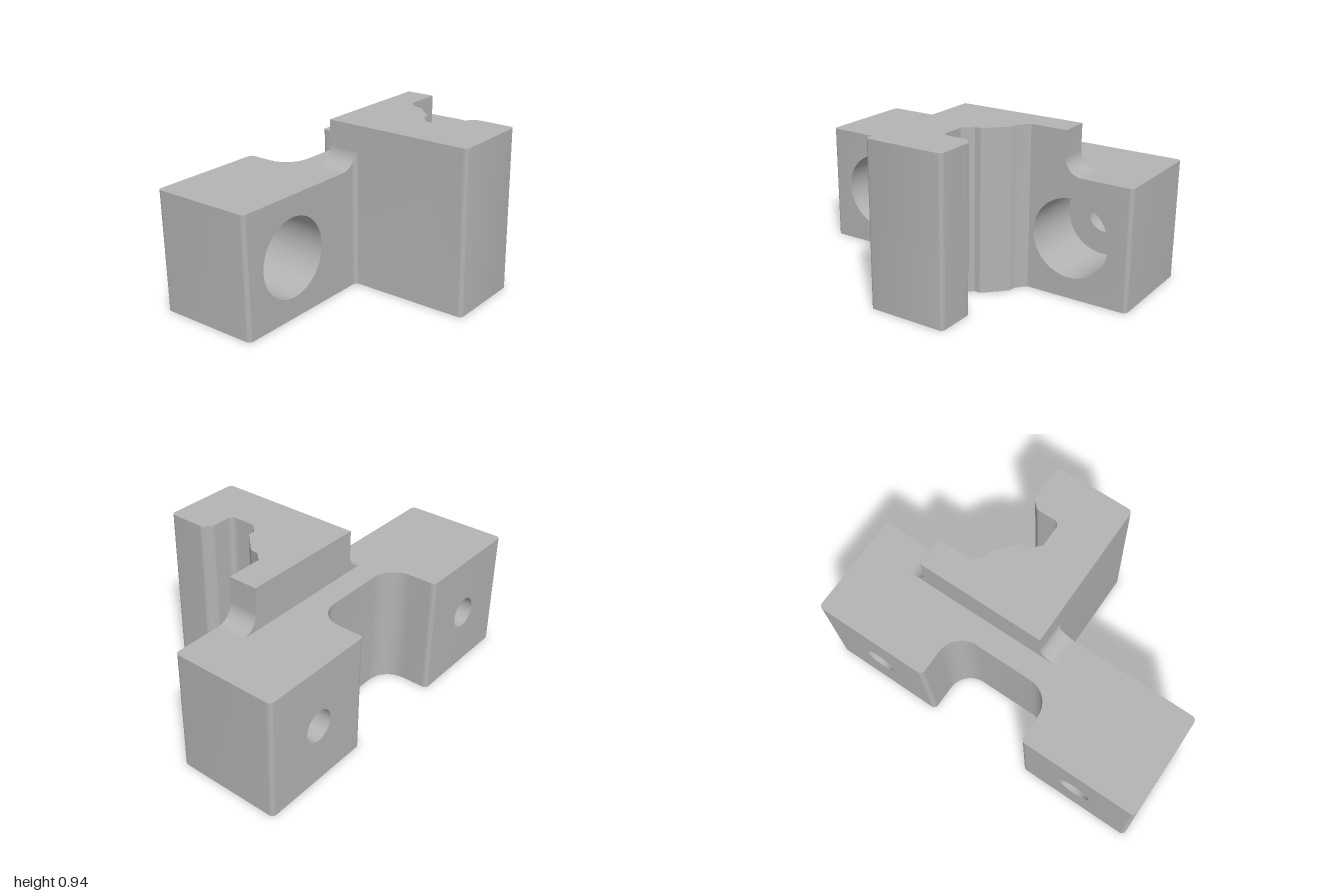
import * as THREE from 'three';
import { mergeGeometries, toCreasedNormals } from 'three/addons/utils/BufferGeometryUtils.js';

const LOW = 0.69, HIGH = 0.935;            // flange and arm heights
const XL = -0.655, XF = -0.05, XS = -0.22; // flange back, flange face, step
const ZA = 0.14, ZB = -0.61, R = 0.1;      // step ends and their fillet radius
const RC = 0.025;                          // small corner radius
const HOLE_Y = 0.345, HOLE_Z = 0.655, HOLE_R = 0.09, BORE_R = 0.225, BORE_X = -0.45;
const SEG = 8;

// Round the corners of a path of [x, z, radius]
function rounded(pts) {
  const out = [];
  pts.forEach(([x, z, r], i) => {
    if (!r) return out.push([x, z]);
    const p = new THREE.Vector2(x, z);
    const u = new THREE.Vector2(...pts[i - 1].slice(0, 2)).sub(p).normalize();
    const v = new THREE.Vector2(...pts[i + 1].slice(0, 2)).sub(p).normalize();
    const half = Math.acos(u.dot(v)) / 2, t = r / Math.tan(half);
    const c = u.clone().add(v).normalize().multiplyScalar(r / Math.sin(half)).add(p);
    const s = u.clone().multiplyScalar(t).add(p).sub(c), e = v.clone().multiplyScalar(t).add(p).sub(c);
    const a0 = s.angle();
    let d = e.angle() - a0;
    d = Math.atan2(Math.sin(d), Math.cos(d));
    for (let k = 0; k <= SEG; k++) {
      const a = a0 + (d * k) / SEG;
      out.push([c.x + r * Math.cos(a), c.y + r * Math.sin(a)]);
    }
  });
  return out.filter((p, i) => !i || Math.hypot(p[0] - out[i - 1][0], p[1] - out[i - 1][1]) > 1e-6);
}

// Surface between two matching rows of 3D points
function strip(a, b) {
  const pos = [];
  for (let i = 0; i < a.length - 1; i++)
    pos.push(...a[i], ...a[i + 1], ...b[i + 1], ...a[i], ...b[i + 1], ...b[i]);
  const g = new THREE.BufferGeometry();
  g.setAttribute('position', new THREE.Float32BufferAttribute(pos, 3));
  return g;
}

// Vertical wall along a plan path
const wall = (path, y0, top) => strip(
  path.map(([x, z]) => [x, y0, z]),
  path.map(([x, z]) => [x, typeof top === 'function' ? top(z) : top, z]));

// Flat face from 2D points, with optional hole
function face(pts, hole) {
  const s = new THREE.Shape(pts.map(([a, b]) => new THREE.Vector2(a, b)));
  if (hole) s.holes.push(new THREE.Path(hole.map(([a, b]) => new THREE.Vector2(a, b))));
  const g = new THREE.ShapeGeometry(s).toNonIndexed();
  g.deleteAttribute('uv');
  g.deleteAttribute('normal');
  return g;
}
const flip = (pts) => pts && pts.map(([a, b]) => [-a, b]);
const faceUp = (plan, y) => face(plan.map(([x, z]) => [x, -z])).rotateX(-Math.PI / 2).translate(0, y, 0);
const faceDown = (plan) => face(plan).rotateX(Math.PI / 2);
const facePlusX = (zy, x, hole) => face(flip(zy), flip(hole)).rotateY(Math.PI / 2).translate(x, 0, 0);
const faceMinusX = (zy, x, hole) => face(zy, hole).rotateY(-Math.PI / 2).translate(x, 0, 0);

// Circle round a bolt axis, as [z, y]
const circle = (r, z) => Array.from({ length: 49 }, (_, i) => {
  const a = (i / 48) * Math.PI * 2;
  return [z + r * Math.cos(a), HOLE_Y + r * Math.sin(a)];
});
const openCircle = (r, z) => circle(r, z).slice(0, -1);
const at = (zy, x) => zy.map(([z, y]) => [x, y, z]);

export function createModel() {
  const group = new THREE.Group();
  group.name = 'clampBracket';
  const steel = new THREE.MeshStandardMaterial({ color: 0xb4b4b4 });
  steel.name = 'grey steel';
  const add = (name, parts) => {
    const mesh = new THREE.Mesh(toCreasedNormals(mergeGeometries(parts), 0.55), steel);
    mesh.name = name;
    group.add(mesh);
  };

  // Plan outline in consecutive runs
  const armPath = rounded([
    [XF + RC, ZA], [0.655, ZA, RC], [0.655, -0.33, RC], [0.425, -0.33, 0.03], [0.38, -0.285, 0.03],
    [0.38, -0.14, 0.035], [0.225, -0.14], [0.17, -0.193], [0.17, -0.232, 0.02],
    [0.05, -0.347, 0.02], [0.003, -0.352, 0.02], [XF, -0.4]]);
  const backEnd = rounded([[XF, -1 + RC], [XF, -1, RC], [XL, -1, RC], [XL, -1 + RC]]);
  const notch = rounded([[XL, -0.315 - RC], [XL, -0.315, RC], [-0.36, -0.315, 0.14],
    [-0.36, 0.315, 0.14], [XL, 0.315, RC], [XL, 0.315 + RC]]);
  const frontEnd = backEnd.map(([x, z]) => [x, -z]).reverse();
  const inner = rounded([[XF, ZA + RC], [XF, ZA, RC], [XF + RC, ZA]]);

  // Step fillet profiles, as [z, y]
  const fillet = (z0, dir) => Array.from({ length: SEG * 2 + 1 }, (_, i) => {
    const a = (i / (SEG * 2)) * Math.PI / 2;
    return [z0 + dir * R * (1 - Math.sin(a)), LOW + R * (1 - Math.cos(a))];
  });
  const frontFillet = fillet(ZA, 1), backFillet = fillet(ZB, -1);
  const heightAt = (z) => LOW + R - Math.sqrt(Math.max(0, R * R - (ZA + R - z) ** 2));
  const zi = ZA + RC;
  const innerX = (z) => z >= zi ? XF : XF + RC - Math.sqrt(Math.max(0, RC * RC - (zi - z) ** 2));

  // Raised arm with its hooked pocket and step
  const frontUp = frontFillet.slice().reverse();
  add('clampArm', [
    wall(armPath, 0, HIGH),
    wall(inner, 0, heightAt),
    faceUp([...armPath, [XF, ZB], [XS, ZB], [XS, ZA]], HIGH),
    wall([[XS, ZA], [XF + RC, ZA]], LOW + R, HIGH),
    wall([[XF, ZB], [XS, ZB]], LOW + R, HIGH),
    strip(frontUp.map(([z, y]) => [XS, y, z]), frontUp.map(([z, y]) => [innerX(z), y, z])),
    strip(at(backFillet, XS), at(backFillet, XF)),
    faceMinusX([...frontFillet, [ZA, HIGH], [ZB, HIGH], ...backFillet.slice().reverse()], XS),
  ]);

  // Flange with both lugs
  const backFace = [[-0.4, 0], [-1 + RC, 0], [-1 + RC, LOW], ...backFillet, [ZB, HIGH], [-0.4, HIGH]];
  const frontFace = [[zi, 0], [1 - RC, 0], [1 - RC, LOW],
    ...frontFillet.filter(([z]) => z > zi + 1e-4), [zi, heightAt(zi)]];
  const rear = (s) => [[s * (0.315 + RC), 0], [s * (1 - RC), 0], [s * (1 - RC), LOW], [s * (0.315 + RC), LOW]];
  add('mountingFlange', [
    faceDown([...armPath, ...backEnd, ...notch, ...frontEnd, ...inner.slice(0, -1)]),
    faceUp([...backEnd, ...notch, ...frontEnd,
      [XF, ZA + R], [XS, ZA + R], [XS, ZB - R], [XF, ZB - R]], LOW),
    ...[backEnd, notch, frontEnd].map((p) => wall(p, 0, LOW)),
    facePlusX(frontFace, XF, openCircle(BORE_R, HOLE_Z)),
    facePlusX(backFace, XF, openCircle(BORE_R, -HOLE_Z)),
    ...[1, -1].map((s) => faceMinusX(rear(s), XL, openCircle(HOLE_R, s * HOLE_Z))),
  ]);

  // Counterbored bolt holes
  for (const s of [1, -1]) {
    const small = circle(HOLE_R, s * HOLE_Z), big = circle(BORE_R, s * HOLE_Z);
    add(s > 0 ? 'frontBoltHole' : 'backBoltHole', [
      strip(at(small, XL), at(small, BORE_X)),
      strip(at(small, BORE_X), at(big, BORE_X)),
      strip(at(big, BORE_X), at(big, XF)),
    ]);
  }
  return group;
}
